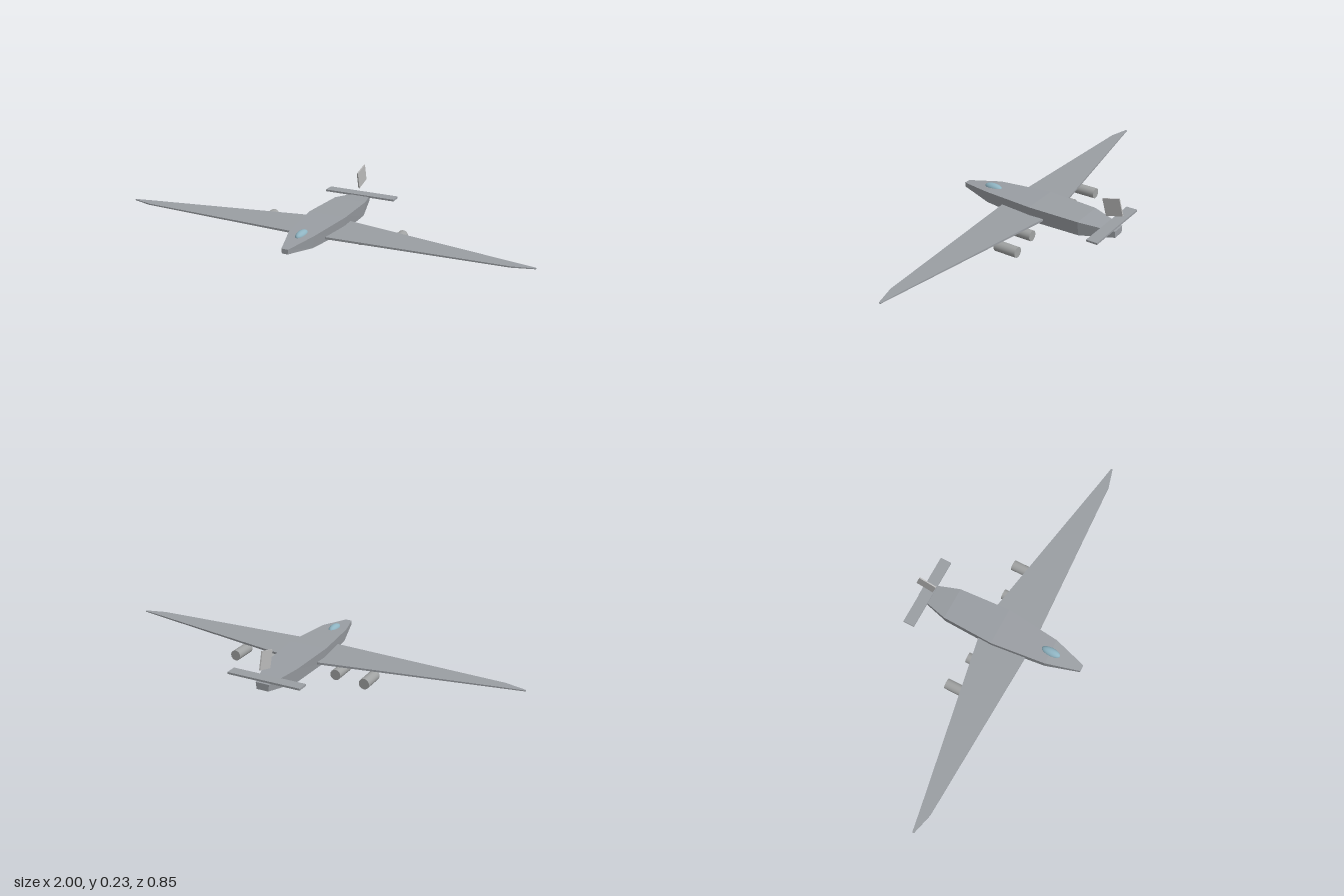
import * as THREE from 'three';

const mat = (name, color, side = THREE.FrontSide) => {
  const m = new THREE.MeshStandardMaterial({ color, side });
  m.name = name;
  return m;
};

// Joins a row of equal loops into a closed, flat-faced solid.
// Loops are counter-clockwise seen from the first end.
function loft(loops) {
  const pos = [];
  const tri = (...pts) => pts.forEach((p) => pos.push(...p));
  const n = loops[0].length;
  for (let i = 0; i < loops.length - 1; i++) {
    const a = loops[i], b = loops[i + 1];
    for (let j = 0; j < n; j++) {
      const k = (j + 1) % n;
      tri(a[j], b[j], a[k]);
      tri(a[k], b[j], b[k]);
    }
  }
  const first = loops[0], last = loops[loops.length - 1];
  for (let j = 1; j < n - 1; j++) {
    tri(first[0], first[j], first[j + 1]);
    tri(last[0], last[j + 1], last[j]);
  }
  const g = new THREE.BufferGeometry();
  g.setAttribute('position', new THREE.Float32BufferAttribute(pos, 3));
  g.computeVertexNormals();
  return g;
}

export function createModel() {
  const group = new THREE.Group();
  const hull = mat('hull grey', 0x9a9ea3);
  const engineGrey = mat('engine grey', 0xa0a2a2);
  const finGrey = mat('fin light grey', 0xbababa);
  const glass = mat('canopy blue', 0x8fb4c2);

  const add = (name, geometry, material, x = 0, y = 0, z = 0) => {
    const mesh = new THREE.Mesh(geometry, material);
    mesh.name = name;
    mesh.position.set(x, y, z);
    group.add(mesh);
    return mesh;
  };

  // Fuselage: z, half width at top, bottom y, top y
  const body = [
    [0.428, 0.016, 0.065, 0.087],
    [0.27, 0.063, 0.045, 0.103],
    [0.01, 0.092, 0.034, 0.109],
    [-0.24, 0.08, 0.031, 0.102],
    [-0.405, 0.033, 0.05, 0.082],
  ].map(([z, w, y0, y1]) => [
    [-w * 0.88, y0, z], [w * 0.88, y0, z], [w, y1, z], [-w, y1, z],
  ]);
  add('fuselage', loft(body), hull);

  // Wing, tip to tip: x, leading z, trailing z, half thickness
  const half = [
    [1, 0.112, 0.104, 0.002],
    [0.9, 0.138, 0.087, 0.003],
    [0.09, 0.174, -0.06, 0.005],
  ];
  const mirrored = half.map(([x, ...rest]) => [-x, ...rest]).reverse();
  const wing = [...half, [0, 0.178, -0.06, 0.005], ...mirrored].map(([x, f, b, t]) => [
    [x, 0.06 - t, f], [x, 0.06 - t, b], [x, 0.06 + t, b], [x, 0.06 + t, f],
  ]);
  add('wing', loft(wing), hull);

  // Four engines slung under the wing
  const engine = new THREE.CylinderGeometry(0.025, 0.025, 0.111, 24).rotateX(Math.PI / 2);
  for (const s of [-1, 1]) {
    add('innerEngine', engine, engineGrey, s * 0.178, 0.025, -0.0105);
    add('outerEngine', engine, engineGrey, s * 0.333, 0.025, -0.0375);
  }

  // Cockpit canopy
  const canopy = add('canopy', new THREE.SphereGeometry(1, 24, 16), glass, 0, 0.099, 0.271);
  canopy.scale.set(0.021, 0.019, 0.047);

  // Tailplane and the tilted fin above it
  add('tailplane', new THREE.BoxGeometry(0.36, 0.009, 0.055), hull, 0, 0.0905, -0.3725);
  const fin = add('fin', new THREE.BoxGeometry(0.006, 0.083, 0.087), finGrey, 0, 0.18, -0.372);
  fin.rotation.x = -0.255;
  fin.rotation.x *= -1;
  fin.rotation.x = Math.atan2(0.022, 0.084);

  return group;
}
